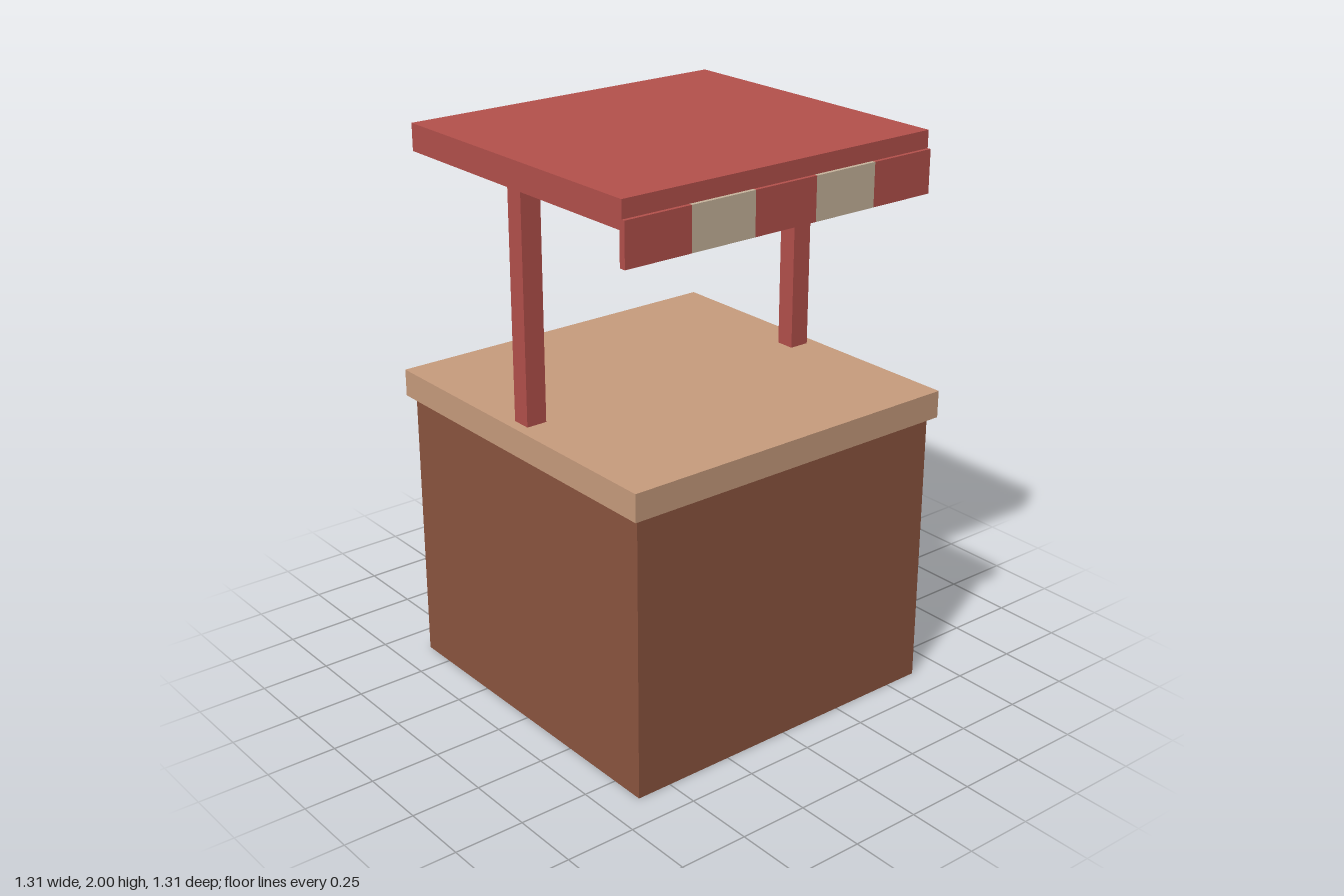
import * as THREE from 'three';

const material = (name, color) => {
  const m = new THREE.MeshStandardMaterial({ color });
  m.name = name;
  return m;
};

export function createModel() {
  const red = material('red paint', 0xb5514c);
  const cream = material('cream cloth', 0xc8b59d);
  const brown = material('brown wood', 0x8d5640);
  const tan = material('tan wood', 0xc99d7e);

  const stall = new THREE.Group();
  stall.name = 'marketStall';

  // Box given by its width, height, depth, centre x, bottom y and centre z
  const box = (name, mat, w, h, d, x, y, z) => {
    const mesh = new THREE.Mesh(new THREE.BoxGeometry(w, h, d), mat);
    mesh.name = name;
    mesh.position.set(x, y + h / 2, z);
    stall.add(mesh);
  };

  // Counter body and overhanging worktop
  box('counterBody', brown, 1.257, 1.01, 1.257, 0, 0, 0);
  box('worktop', tan, 1.307, 0.097, 1.307, 0, 1.01, 0);

  // Posts on both sides
  for (const side of [-1, 1]) {
    box(side > 0 ? 'leftPost' : 'rightPost', red, 0.075, 0.798, 0.07, side * 0.578, 1.107, 0);
  }

  // Flat roof
  box('roof', red, 1.257, 0.095, 1.131, 0, 1.905, 0);

  // Valance of alternating panels along the front edge
  const panelWidth = 1.257 / 5;
  for (let i = 0; i < 5; i++) {
    box('valancePanel', i % 2 ? cream : red, panelWidth, 0.15, 0.024, (i - 2) * panelWidth, 1.789, 0.567);
  }

  return stall;
}
